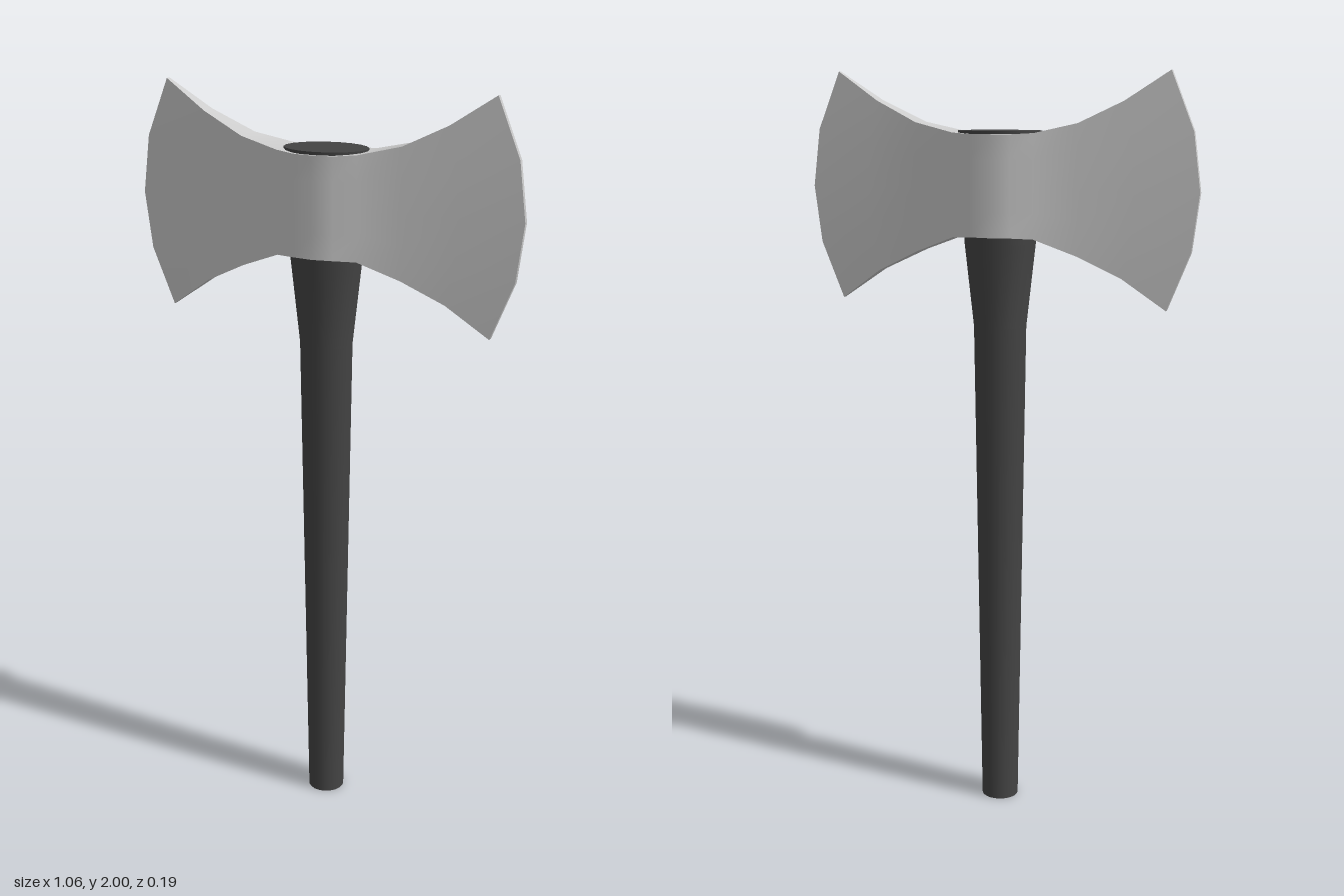
import * as THREE from 'three';
import { toCreasedNormals } from 'three/addons/utils/BufferGeometryUtils.js';

// Head stations from the eye outwards: [x, half thickness, bottom y, top y, edge bulge]
const STATIONS = [
  [0, 0.093, 1.58, 1.842, 0],
  [0.055, 0.085, 1.58, 1.842, 0],
  [0.11, 0.062, 1.577, 1.845, 0],
  [0.22, 0.04, 1.535, 1.87, 0],
  [0.335, 0.023, 1.48, 1.925, 0.03],
  [0.45, 0.007, 1.4, 2.0, 0.08],
];
// Share of the bulge on each row, bottom to top
const BULGE = [0, 0.76, 1, 0.76, 0];

function headGeometry() {
  const rows = BULGE.length;
  const mirrored = STATIONS.slice(1).reverse().map(([x, ...rest]) => [-x, ...rest]);
  // Each loop runs up the front face and down the back face
  const loops = [...mirrored, ...STATIONS].map(([x, t, y0, y1, bulge]) => {
    const side = (z) => BULGE.map((b, j) =>
      [x + Math.sign(x) * bulge * b, y0 + (y1 - y0) * j / (rows - 1), z]);
    return [...side(t), ...side(-t).reverse()];
  });
  const pos = [];
  const quad = (a, b, c, d) => pos.push(...a, ...b, ...c, ...a, ...c, ...d);
  const n = rows * 2;
  for (let i = 0; i < loops.length - 1; i++) {
    for (let j = 0; j < n; j++) {
      const k = (j + 1) % n;
      quad(loops[i][j], loops[i + 1][j], loops[i + 1][k], loops[i][k]);
    }
  }
  // Narrow cutting edges at both ends
  const left = loops[loops.length - 1], right = loops[0];
  for (let j = 0; j < rows - 1; j++) {
    quad(left[j], left[n - 1 - j], left[n - 2 - j], left[j + 1]);
    quad(right[j], right[j + 1], right[n - 2 - j], right[n - 1 - j]);
  }
  const geo = new THREE.BufferGeometry();
  geo.setAttribute('position', new THREE.Float32BufferAttribute(pos, 3));
  return toCreasedNormals(geo, Math.PI / 6);
}

// Handle sections from the butt up: [y, x radius, z radius]
const SECTIONS = [
  [0, 0.05, 0.05],
  [1.34, 0.07, 0.066],
  [1.56, 0.096, 0.073],
  [1.85, 0.112, 0.086],
];

function handleGeometry() {
  const last = SECTIONS.length - 1;
  const geo = new THREE.CylinderGeometry(1, 1, last, 20, last);
  const p = geo.attributes.position;
  for (let i = 0; i < p.count; i++) {
    const [y, rx, rz] = SECTIONS[Math.round(p.getY(i) + last / 2)];
    p.setXYZ(i, p.getX(i) * rx, y, p.getZ(i) * rz);
  }
  return toCreasedNormals(geo, Math.PI / 6);
}

export function createModel() {
  const model = new THREE.Group();
  model.name = 'doubleBitAxe';
  const add = (name, geometry, color) => {
    const mesh = new THREE.Mesh(geometry, new THREE.MeshStandardMaterial({ color }));
    mesh.name = name;
    model.add(mesh);
  };
  add('axeHead', headGeometry(), 0xcccccc);
  add('handle', handleGeometry(), 0x444444);
  return model;
}
